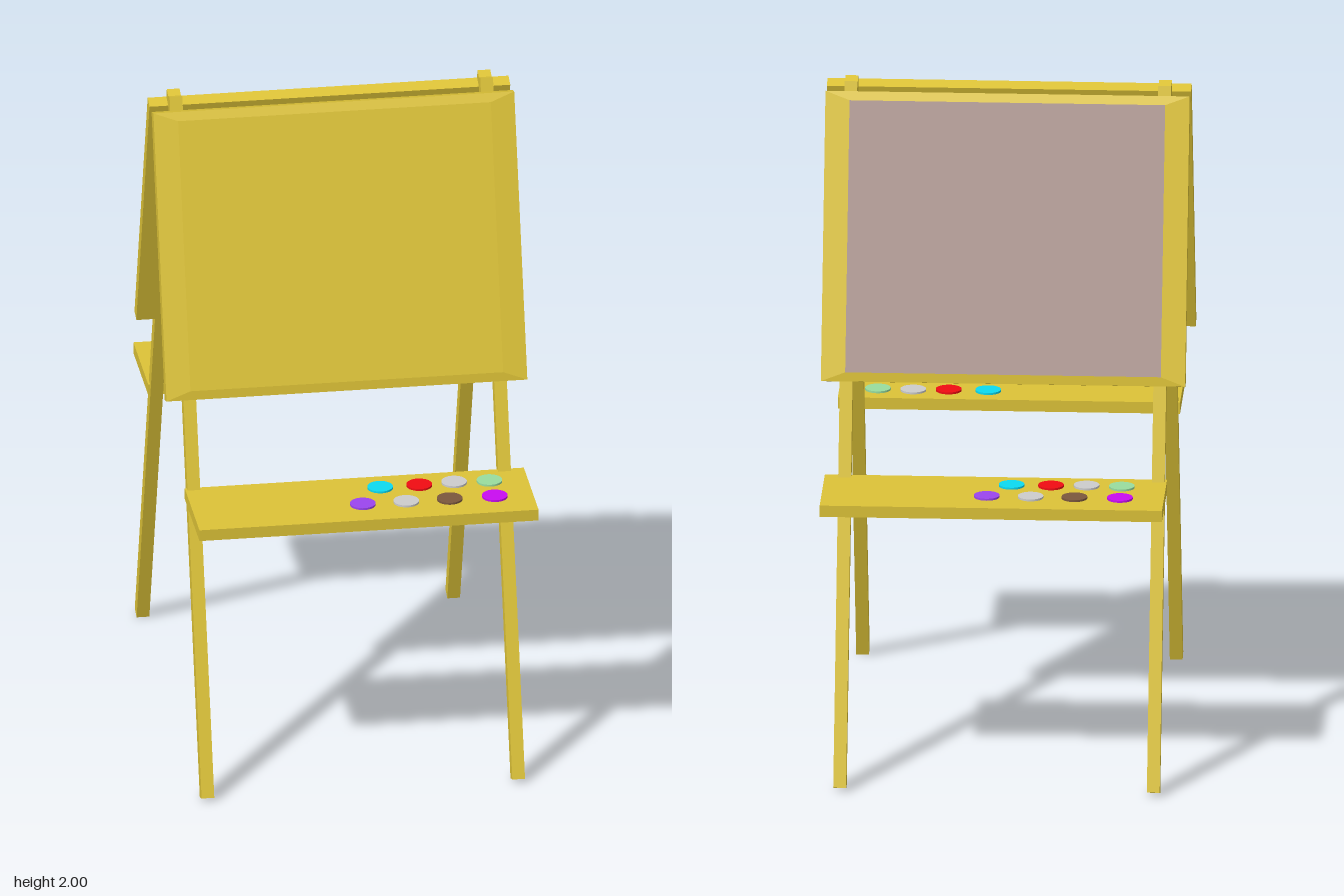
import * as THREE from 'three';

const mat = (color) => new THREE.MeshStandardMaterial({ color });
const wood = mat(0xdcc237);
const slate = mat(0xb09892);

// Paint pots on a tray: colour, x, z
const PAINTS = [
  [0x0cd9f0, 0.083, 0.46], [0xf00c12, 0.20, 0.46], [0xc2c2c2, 0.305, 0.455], [0x98dc9e, 0.41, 0.46],
  [0x9b45ee, 0.015, 0.57], [0xc2c2c2, 0.145, 0.57], [0x7a573d, 0.275, 0.57], [0xc80cf0, 0.41, 0.57],
].map(([color, x, z]) => ({ material: mat(color), x, z }));

function add(parent, name, geometry, material, x, y, z) {
  const mesh = new THREE.Mesh(geometry, material);
  mesh.name = name;
  mesh.position.set(x, y, z);
  parent.add(mesh);
  return mesh;
}

// Shallow raised face: a thin box whose front rectangle is drawn in
function raisedFace(w, h, d, insetX, insetY) {
  const g = new THREE.BoxGeometry(w, h, d);
  const p = g.attributes.position;
  for (let i = 0; i < p.count; i++) {
    if (p.getZ(i) > 0) {
      p.setX(i, Math.sign(p.getX(i)) * (w / 2 - insetX));
      p.setY(i, Math.sign(p.getY(i)) * (h / 2 - insetY));
    }
  }
  g.computeVertexNormals();
  return g;
}

// One half of the easel, facing +z
function easelSide(name, { boardY, boardZ, panel, trayX, trayZ, paintX }) {
  const side = new THREE.Group();
  side.name = name;

  // Leaning frame: two legs and the board
  const frame = new THREE.Group();
  frame.name = 'leaningFrame';
  frame.position.set(0, 1, 0.337);
  frame.rotation.x = -Math.atan2(0.654, 1.988);
  side.add(frame);
  for (const s of [-1, 1]) {
    add(frame, s > 0 ? 'leftLeg' : 'rightLeg', new THREE.BoxGeometry(0.038, 2.093, 0.04), wood, s * 0.465, 0, 0);
  }
  add(frame, 'board', new THREE.BoxGeometry(1.08, 0.86, 0.04), wood, 0, boardY, boardZ);
  add(frame, 'boardFace', raisedFace(1.08, 0.86, 0.006, 0.072, 0.027),
    [wood, wood, wood, wood, panel, wood], 0, boardY, boardZ + 0.023);

  // Level tray with paint pots
  add(side, 'tray', new THREE.BoxGeometry(1.015, 0.035, 0.302), wood, trayX, 0.8675, 0.529 + trayZ);
  for (const { material, x, z } of PAINTS) {
    add(side, 'paintPot', new THREE.CylinderGeometry(0.038, 0.038, 0.012, 32), material,
      x + paintX, 0.885, z + trayZ);
  }
  return side;
}

export function createModel() {
  const easel = new THREE.Group();
  easel.name = 'easel';
  easel.add(easelSide('frontSide', {
    boardY: 0.576, boardZ: 0.04, panel: wood, trayX: 0.0175, trayZ: 0, paintX: 0,
  }));
  const back = easelSide('backSide', {
    boardY: 0.587, boardZ: 0, panel: slate, trayX: -0.0175, trayZ: -0.01, paintX: -0.05,
  });
  back.rotation.y = Math.PI;
  easel.add(back);
  return easel;
}
